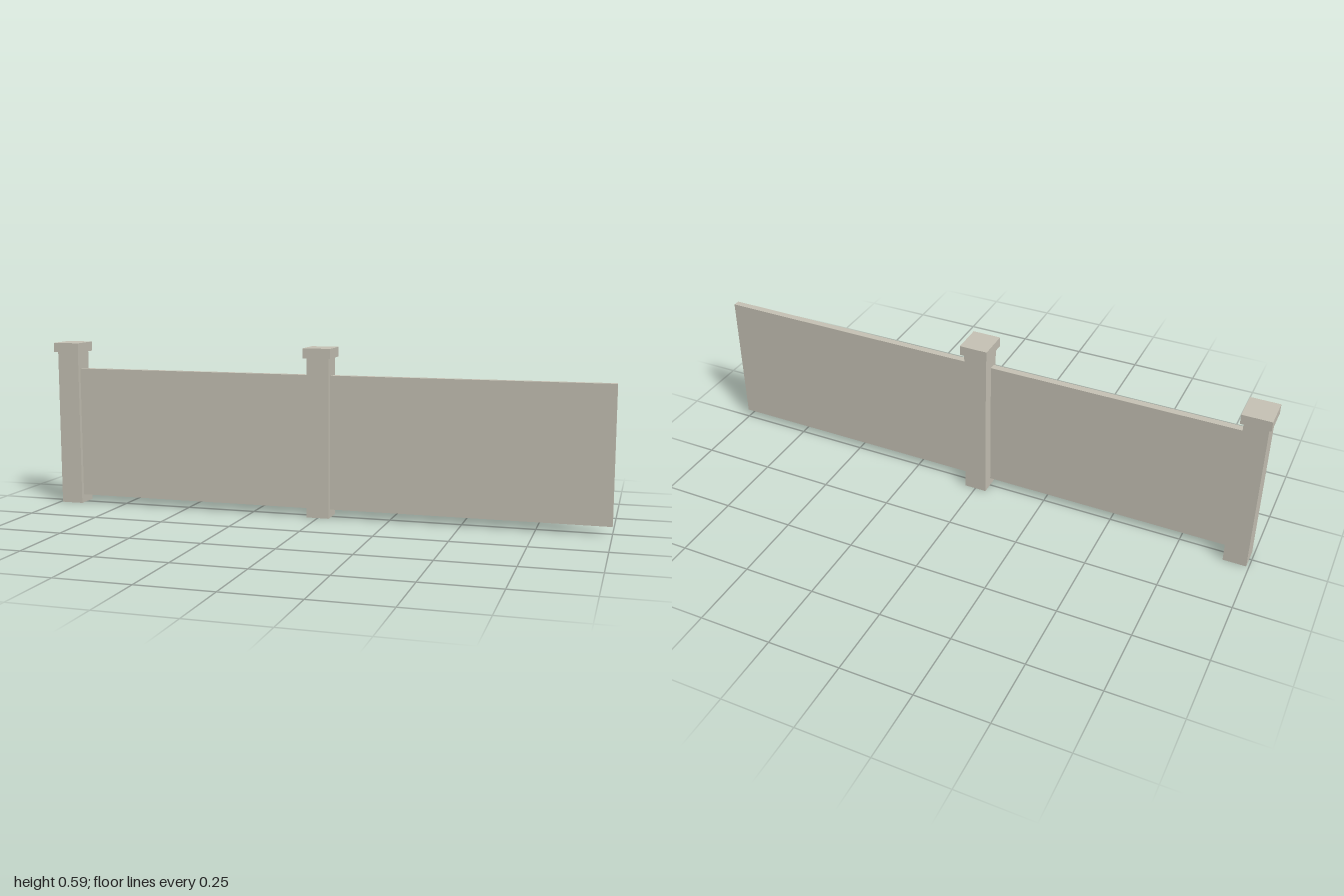
import * as THREE from 'three';

export function createModel() {
  const group = new THREE.Group();
  group.name = 'fence';
  const stone = new THREE.MeshStandardMaterial({ color: 0xc6c2b5 });
  stone.name = 'stone';

  // box given by its centre x and z, base height and size
  function box(name, x, y, z, w, h, d) {
    const mesh = new THREE.Mesh(new THREE.BoxGeometry(w, h, d), stone);
    mesh.name = name;
    mesh.position.set(x, y + h / 2, z);
    group.add(mesh);
  }

  // square posts with overhanging flat caps
  const postX = [-0.951, 0];
  postX.forEach((x, i) => {
    box(`post${i + 1}`, x, 0, 0, 0.08, 0.559, 0.08);
    box(`postCap${i + 1}`, x, 0.559, 0, 0.098, 0.034, 0.108);
  });

  // thin wall panels, each running from a post, set just in front of centre
  const panelEnds = [[-0.951, 0], [0, 1]];
  panelEnds.forEach(([start, end], i) => {
    box(`panel${i + 1}`, (start + end) / 2, 0.03, 0.013, end - start, 0.469, 0.024);
  });

  return group;
}
